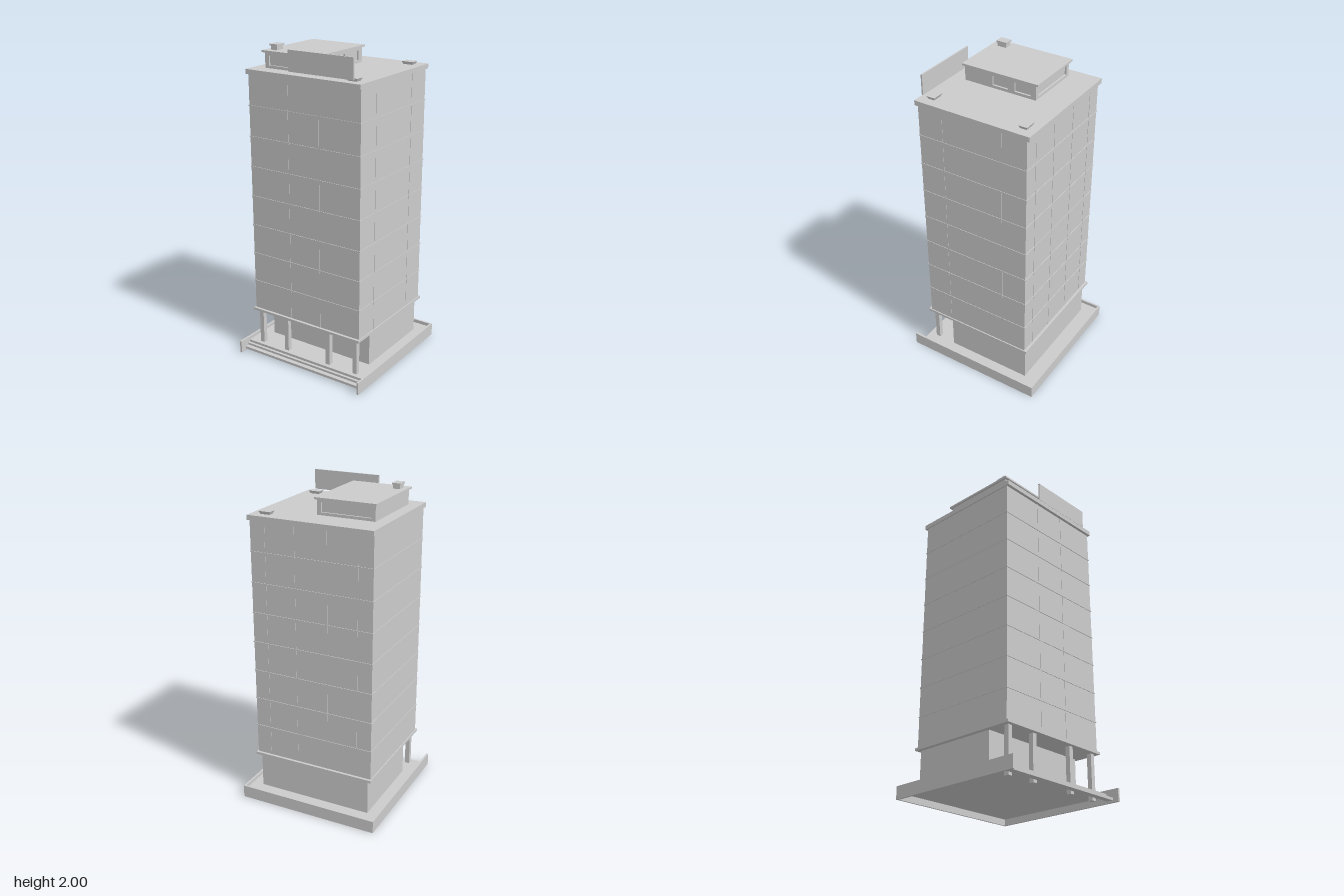
import * as THREE from 'three';

const grey = new THREE.MeshStandardMaterial({ color: 0xcccccc, flatShading: true });

export function createModel() {
  const model = new THREE.Group();
  model.name = 'officeTower';

  const add = (name, geometry, parent = model) => {
    const mesh = new THREE.Mesh(geometry, grey);
    mesh.name = name;
    parent.add(mesh);
    return mesh;
  };
  // Box given by its limits on each axis
  const box = (name, x0, x1, y0, y1, z0, z1, parent) => {
    const mesh = add(name, new THREE.BoxGeometry(x1 - x0, y1 - y0, z1 - z0), parent);
    mesh.position.set((x0 + x1) / 2, (y0 + y1) / 2, (z0 + z1) / 2);
    return mesh;
  };

  // Plinth: floor, front steps and the low walls on three sides
  box('plinthFloor', -0.45, 0.45, 0.04, 0.058, -0.45, 0.375);
  box('upperStep', -0.45, 0.45, 0.026, 0.042, 0.36, 0.392);
  box('lowerStep', -0.45, 0.45, 0.012, 0.028, 0.377, 0.42);
  for (const s of [-1, 1]) {
    const wall = box('sideWall', -0.0065, 0.0065, 0, 0.08, -0.46, 0.46);
    wall.position.x = s * 0.4535;
  }
  box('backWall', -0.45, 0.45, 0, 0.08, -0.46, -0.449);

  // Recessed ground floor and front columns
  box('groundFloor', -0.375, 0.375, 0.04, 0.295, -0.357, 0.205);
  for (const x of [-0.36, -0.16, 0.16, 0.36]) {
    box('column', x - 0.015, x + 0.015, 0.006, 0.295, 0.319, 0.349);
  }

  // Tower shaft between two projecting slabs
  box('lowerSlab', -0.403, 0.403, 0.29, 0.306, -0.38, 0.374);
  box('shaft', -0.396, 0.396, 0.3, 1.835, -0.363, 0.357);
  box('roofSlab', -0.403, 0.403, 1.83, 1.86, -0.382, 0.375);

  // Thin storey bands and upright joints on the facades
  const facade = new THREE.Group();
  facade.name = 'facadeJoints';
  model.add(facade);
  for (let i = 1; i < 8; i++) {
    const y = 0.306 + i * 0.1905;
    box('storeyBand', -0.399, 0.399, y - 0.003, y + 0.003, -0.367, 0.361, facade);
  }
  const upright = (x, z) => box('uprightJoint', x - 0.002, x + 0.002, 0.306, 1.83, z - 0.002, z + 0.002, facade);
  for (const x of [-0.11, 0.11]) upright(x, 0.357);
  for (const x of [-0.3, -0.105, 0.105, 0.3]) upright(x, -0.363);
  for (const z of [-0.2, 0.195]) upright(0.396, z);

  // Rooftop house: solid core clad in wall panels with window openings
  const house = new THREE.Group();
  house.name = 'rooftopHouse';
  model.add(house);
  const X0 = -0.328, X1 = 0.04, Z0 = -0.2, Z1 = 0.28, Y0 = 1.858, Y1 = 1.955, T = 0.012;
  const rect = (P, a, b, c, d) => {
    const p = new P();
    p.moveTo(a, c);
    p.lineTo(b, c);
    p.lineTo(b, d);
    p.lineTo(a, d);
    p.closePath();
    return p;
  };
  const panel = (name, length, windows) => {
    const shape = rect(THREE.Shape, 0, length, 0, Y1 - Y0);
    for (const [a, b] of windows) shape.holes.push(rect(THREE.Path, a, b, 0.019, 0.077));
    return add(name, new THREE.ExtrudeGeometry(shape, { depth: T, bevelEnabled: false }), house);
  };
  box('houseCore', X0 + T, X1 - T, Y0, Y1, Z0 + T, Z1 - T, house);
  panel('houseFront', X1 - X0, [[0.028, 0.188]]).position.set(X0, Y0, Z1 - T);
  const back = panel('houseBack', X1 - X0, [[0.025, 0.343]]);
  back.rotation.y = Math.PI;
  back.position.set(X1, Y0, Z0 + T);
  const sideLength = Z1 - Z0 - 2 * T;
  const right = panel('houseWindowSide', sideLength, [[0.178, 0.284], [0.326, 0.432]]);
  right.rotation.y = Math.PI / 2;
  right.position.set(X1 - T, Y0, Z1 - T);
  const left = panel('housePlainSide', sideLength, []);
  left.rotation.y = -Math.PI / 2;
  left.position.set(X0 + T, Y0, Z0 + T);
  box('houseRoof', -0.34, 0.05, 1.953, 1.965, -0.217, 0.295, house);

  // Chimney with a cap
  box('chimney', -0.305, -0.26, 1.96, 1.99, 0.192, 0.252);
  box('chimneyCap', -0.31, -0.255, 1.989, 2, 0.187, 0.257);

  // Free-standing rooftop board
  box('roofBoard', -0.096, 0.348, 1.875, 2, 0.353, 0.362);

  // Roof vents, narrower at the foot
  for (const z of [-0.307, 0.3]) {
    const vent = box('roofVent', 0.275, 0.352, 1.858, 1.878, z - 0.028, z + 0.028);
    const p = vent.geometry.attributes.position;
    for (let i = 0; i < p.count; i++) {
      if (p.getY(i) < 0) p.setXYZ(i, p.getX(i) * 0.75, p.getY(i), p.getZ(i) * 0.7);
    }
    vent.geometry.computeVertexNormals();
  }

  return model;
}
